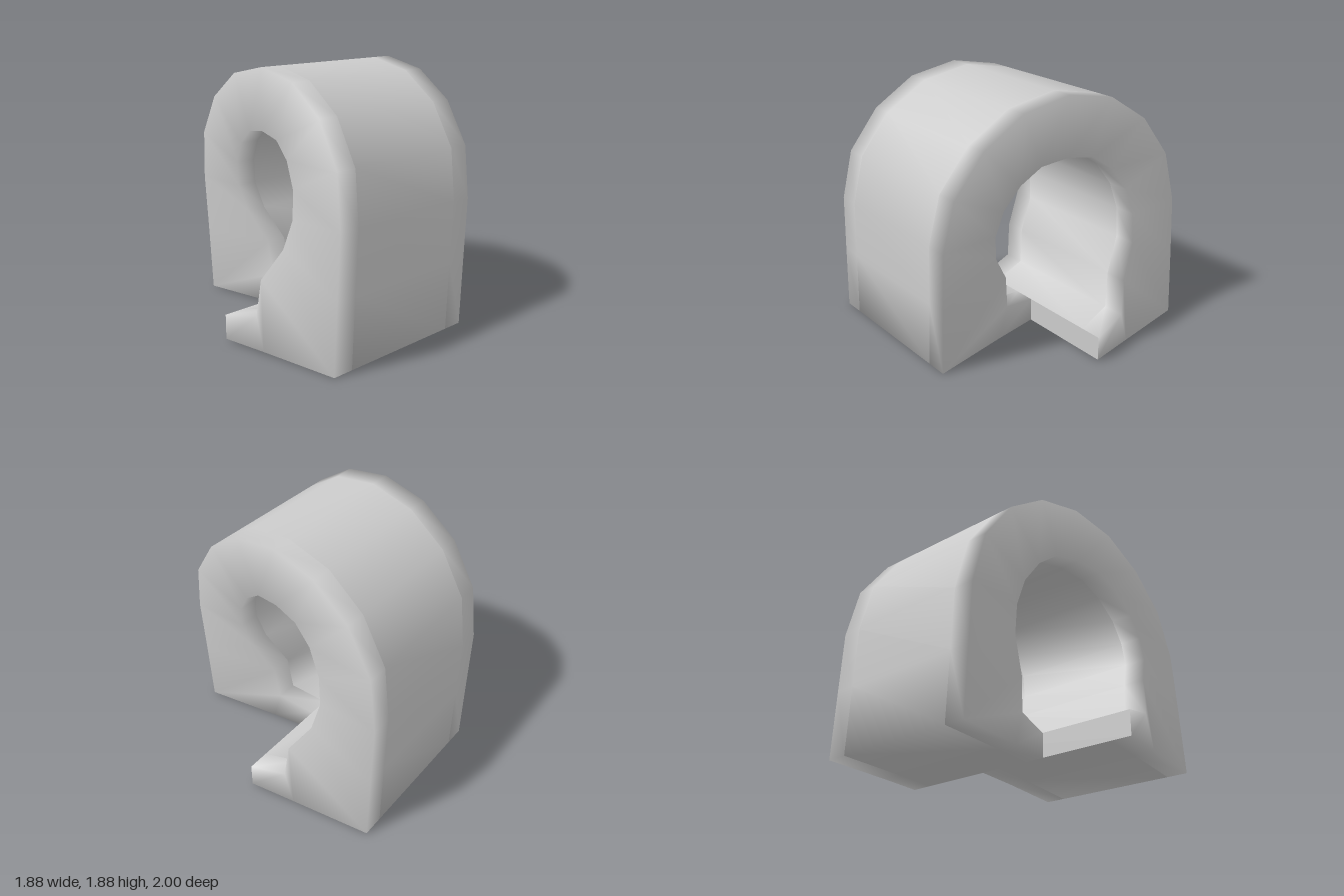
import * as THREE from 'three';

// Half of the coil, bottom centre to crown: outer x, y, inner x, y, outer shift, inner shift along z
const HALF = [
  [0.00, 0.01, 0.00, 0.19, 0.36, 0.36],
  [0.35, 0.01, 0.28, 0.25, 0.31, 0.31],
  [0.94, 0.00, 0.31, 0.51, 0.22, 0.29],
  [0.94, 0.50, 0.46, 0.74, 0.195, 0.22],
  [0.94, 0.94, 0.50, 0.94, 0.17, 0.17],
  [0.87, 1.31, 0.46, 1.13, 0.13, 0.13],
  [0.66, 1.61, 0.35, 1.30, 0.085, 0.085],
  [0.36, 1.81, 0.20, 1.41, 0.045, 0.045],
  [0.00, 1.88, 0.00, 1.44, 0.00, 0.00],
];
const WIDTH = 0.64; // half the band's width
const RIM = 0.16;   // width of the rounded rim strip

// The other half mirrors x and keeps advancing backwards, giving one helical turn
const stations = [
  ...HALF,
  ...HALF.slice(0, -1).reverse().map(([a, b, c, d, e, f]) => [-a, b, -c, d, -e, -f]),
];

// Cross-section ring at one station, starting behind the outer front rim
function section([ox, oy, ix, iy, so, si]) {
  const w = WIDTH, c = WIDTH - RIM;
  return [
    [ox, oy, so + c], [ox, oy, so - c], [ox, oy, so - w],
    [ix, iy, si - w], [ix, iy, si - c], [ix, iy, si + c],
    [ix, iy, si + w], [ox, oy, so + w],
  ];
}

const material = new THREE.MeshStandardMaterial({ color: 0xcccccc, side: THREE.DoubleSide });

function makeMesh(name, points, index) {
  const geometry = new THREE.BufferGeometry();
  geometry.setAttribute('position', new THREE.Float32BufferAttribute(points.flat(), 3));
  geometry.setIndex(index);
  geometry.computeVertexNormals();
  const mesh = new THREE.Mesh(geometry, material);
  mesh.name = name;
  return mesh;
}

// Smooth strip through the chosen section columns, along the whole coil
function strip(name, rings, columns) {
  const points = [], index = [], n = columns.length;
  rings.forEach((ring, i) => {
    columns.forEach((k) => points.push(ring[k]));
    if (i === rings.length - 1) return;
    for (let j = 0; j < n - 1; j++) {
      const a = i * n + j, b = a + n;
      index.push(a, a + 1, b, b, a + 1, b + 1);
    }
  });
  return makeMesh(name, points, index);
}

export function createModel() {
  const group = new THREE.Group();
  group.name = 'helicalCoil';
  const rings = stations.map(section);

  // Walls and rounded rims
  group.add(strip('outerWall', rings, [0, 1]));
  group.add(strip('backRim', rings, [1, 2, 3, 4]));
  group.add(strip('innerWall', rings, [4, 5]));
  group.add(strip('frontRim', rings, [5, 6, 7, 0]));

  // Flat ends where the turn starts and stops
  const corners = (ring) => [7, 2, 3, 6].map((k) => ring[k]);
  group.add(makeMesh('startCap', corners(rings[0]), [0, 2, 1, 0, 3, 2]));
  group.add(makeMesh('endCap', corners(rings[rings.length - 1]), [0, 1, 2, 0, 2, 3]));
  return group;
}
